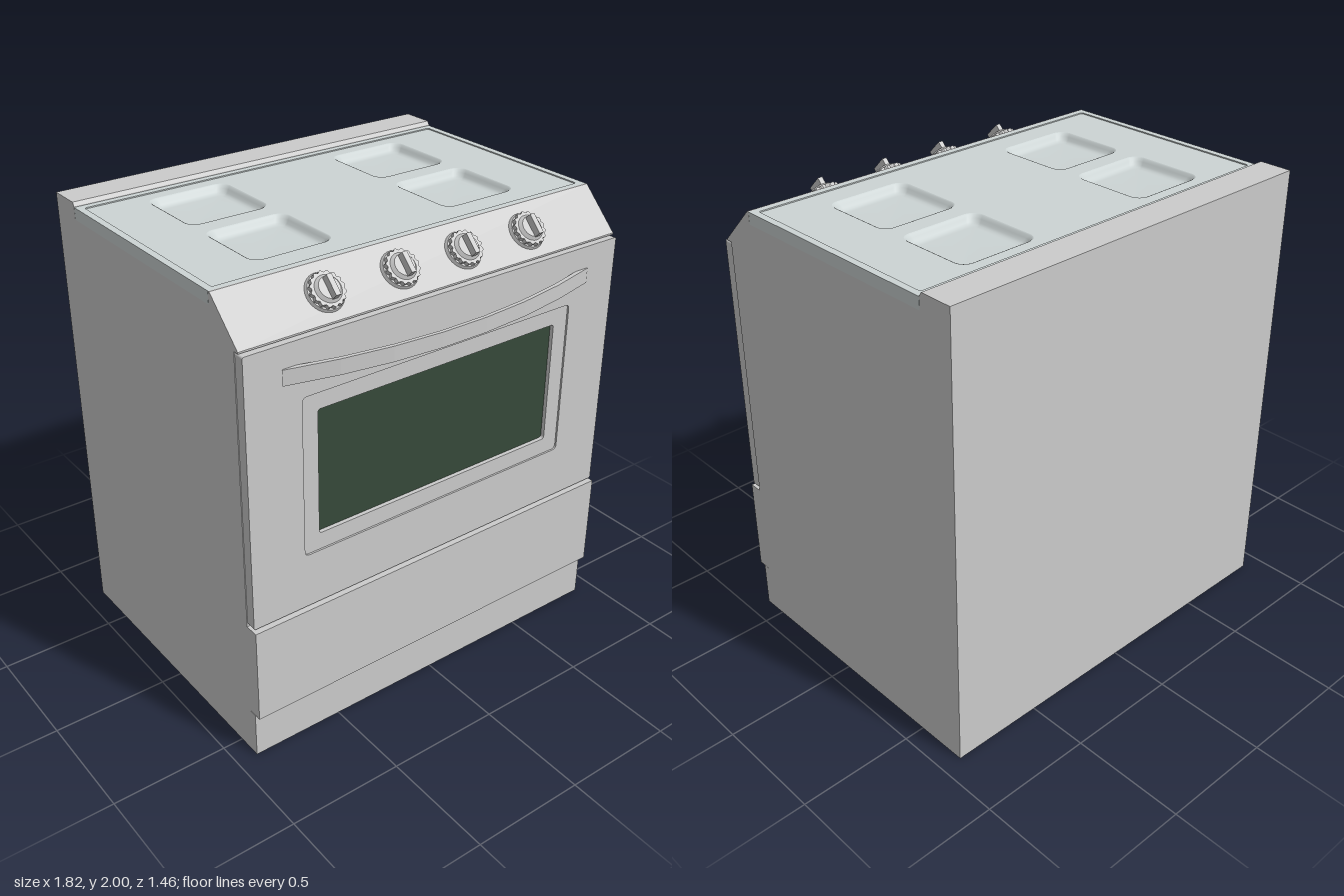
import * as THREE from 'three';

const grey = new THREE.MeshStandardMaterial({ color: 0xcccccc });
const enamel = new THREE.MeshStandardMaterial({ color: 0xccd4d4, side: THREE.DoubleSide });
const darkGlass = new THREE.MeshStandardMaterial({ color: 0x364939 });

function mesh(name, geometry, material = grey) {
  const m = new THREE.Mesh(geometry, material);
  m.name = name;
  return m;
}

function box(name, w, h, d, x, y, z, material = grey) {
  const m = mesh(name, new THREE.BoxGeometry(w, h, d), material);
  m.position.set(x, y, z);
  return m;
}

// Outline of a rounded rectangle, always with the same number of points
function roundRect(cx, cy, hw, hh, r, steps = 6) {
  const pts = [];
  [[1, 1], [-1, 1], [-1, -1], [1, -1]].forEach(([sx, sy], c) => {
    for (let k = 0; k <= steps; k++) {
      const a = (c + k / steps) * Math.PI / 2;
      pts.push(new THREE.Vector2(
        cx + sx * (hw - r) + r * Math.cos(a), cy + sy * (hh - r) + r * Math.sin(a)));
    }
  });
  return pts;
}

// Flat plate with holes
function plate(outline, holes, depth) {
  const shape = new THREE.Shape(outline);
  holes.forEach(h => shape.holes.push(new THREE.Path(h)));
  return new THREE.ExtrudeGeometry(shape, { depth, bevelEnabled: false });
}

// Side profile (z, y) swept across the width
function sweepAcross(points, width) {
  const g = plate(points.map(p => new THREE.Vector2(...p)), [], width);
  g.translate(0, 0, -width / 2);
  g.rotateY(-Math.PI / 2);
  return g;
}

// Shallow dish lofted from shrinking rounded rectangles, closed by a floor
function wellGeometry(hw, hh) {
  const rings = [[0, 0], [0.006, -0.003], [0.014, -0.014], [0.022, -0.026], [0.032, -0.033], [0.048, -0.036]];
  const pos = [], index = [];
  let n = 0;
  rings.forEach(([inset, y]) => {
    const pts = roundRect(0, 0, hw - inset, hh - inset, 0.05 - inset * 0.5);
    n = pts.length;
    pts.forEach(p => pos.push(p.x, y, -p.y));
  });
  const centre = rings.length * n;
  pos.push(0, -0.036, 0);
  for (let i = 0; i < n; i++) {
    const j = (i + 1) % n;
    for (let r = 0; r < rings.length - 1; r++) {
      const a = r * n + i, b = r * n + j;
      index.push(a, b, b + n, a, b + n, a + n);
    }
    index.push(centre - n + i, centre - n + j, centre);
  }
  const g = new THREE.BufferGeometry();
  g.setAttribute('position', new THREE.Float32BufferAttribute(pos, 3));
  g.setIndex(index);
  g.computeVertexNormals();
  return g;
}

function createCooktop() {
  const group = new THREE.Group();
  group.name = 'cooktop';
  const hw = 0.185, hh = 0.177, top = 1.976;
  const centres = [];
  for (const x of [-0.457, 0.457]) for (const z of [-0.312, 0.122]) centres.push([x, z]);

  const outer = roundRect(0, 0.0725, 0.91, 0.5025, 0.001, 1);
  const slab = plate(outer, centres.map(([x, z]) => roundRect(x, -z, hw, hh, 0.05)), 0.046);
  slab.rotateX(-Math.PI / 2);
  slab.translate(0, top - 0.046, 0);
  group.add(mesh('cooktopSurface', slab, enamel));

  // Slightly raised border
  const rim = plate(outer, [roundRect(0, 0.07, 0.88, 0.475, 0.01)], 0.006);
  rim.rotateX(-Math.PI / 2);
  rim.translate(0, top - 0.001, 0);
  group.add(mesh('cooktopRim', rim, enamel));

  const well = wellGeometry(hw, hh);
  centres.forEach(([x, z]) => {
    const m = mesh('burnerWell', well, enamel);
    m.position.set(x, top, z);
    group.add(m);
  });
  return group;
}

function createDoor() {
  const group = new THREE.Group();
  group.name = 'ovenDoor';
  const opening = roundRect(0, 1.228, 0.665, 0.343, 0.018);
  const panel = plate(roundRect(0, 1.226, 0.907, 0.58, 0.008), [opening], 0.048);
  panel.translate(0, 0, 0.578);
  group.add(mesh('doorPanel', panel));

  const frame = plate(opening, [roundRect(0, 1.228, 0.592, 0.27, 0.012)], 0.04);
  frame.translate(0, 0, 0.578);
  group.add(mesh('windowFrame', frame));
  group.add(box('windowGlass', 1.2, 0.56, 0.02, 0, 1.228, 0.59, darkGlass));

  // Bowed handle: a faceted ribbon between two arcs
  const arc = [];
  for (let i = 0; i <= 7; i++) {
    const t = i / 7 * 2 - 1;
    arc.push([t * 0.75, 0.63 + 0.105 * (1 - t * t)]);
  }
  const outline = [
    ...arc.map(([x, z]) => new THREE.Vector2(x, -z)),
    ...arc.reverse().map(([x, z]) => new THREE.Vector2(x * 0.98, -(z - 0.016))),
  ];
  const handle = plate(outline, [], 0.064);
  handle.rotateX(-Math.PI / 2);
  handle.translate(0, 1.647, 0);
  group.add(mesh('doorHandle', handle));
  return group;
}

// Knob standing on y = 0 with its pointer along z
function createKnob() {
  const group = new THREE.Group();
  group.name = 'knob';
  const skirt = mesh('knobSkirt', new THREE.CylinderGeometry(0.074, 0.08, 0.014, 32));
  skirt.position.y = 0.006;

  // Scalloped grip ring
  const lobes = [];
  for (let i = 0; i < 96; i++) {
    const a = i / 96 * Math.PI * 2, r = 0.069 + 0.004 * Math.cos(a * 16);
    lobes.push(new THREE.Vector2(r * Math.cos(a), r * Math.sin(a)));
  }
  const ring = plate(lobes, [], 0.022);
  ring.rotateX(-Math.PI / 2);
  ring.translate(0, 0.01, 0);

  const hub = mesh('knobHub', new THREE.CylinderGeometry(0.044, 0.056, 0.014, 32));
  hub.position.y = 0.038;
  group.add(skirt, mesh('knobGrip', ring), hub,
    box('knobPointer', 0.022, 0.036, 0.085, 0, 0.058, 0.003));
  return group;
}

export function createModel() {
  const model = new THREE.Group();
  model.name = 'stove';

  // Cabinet with kick plate, sloped control panel, cooktop seat and rear ledge
  model.add(mesh('cabinet', sweepAcross([
    [-0.73, 0], [0.61, 0], [0.61, 0.208], [0.58, 0.208], [0.58, 1.811], [0.605, 1.811], [0.605, 1.818],
    [0.438, 1.981], [0.43, 1.981], [0.43, 1.93], [-0.575, 1.93], [-0.575, 1.985], [-0.585, 2], [-0.73, 2],
  ], 1.82)));

  model.add(box('storageDrawer', 1.82, 0.426, 0.065, 0, 0.422, 0.6085));
  model.add(createDoor());
  model.add(createCooktop());

  // Knobs along the sloped panel
  for (const x of [-0.49, -0.15, 0.16, 0.49]) {
    const knob = createKnob();
    knob.position.set(x, 1.897, 0.524);
    knob.rotation.x = Math.PI / 4;
    model.add(knob);
  }
  return model;
}
